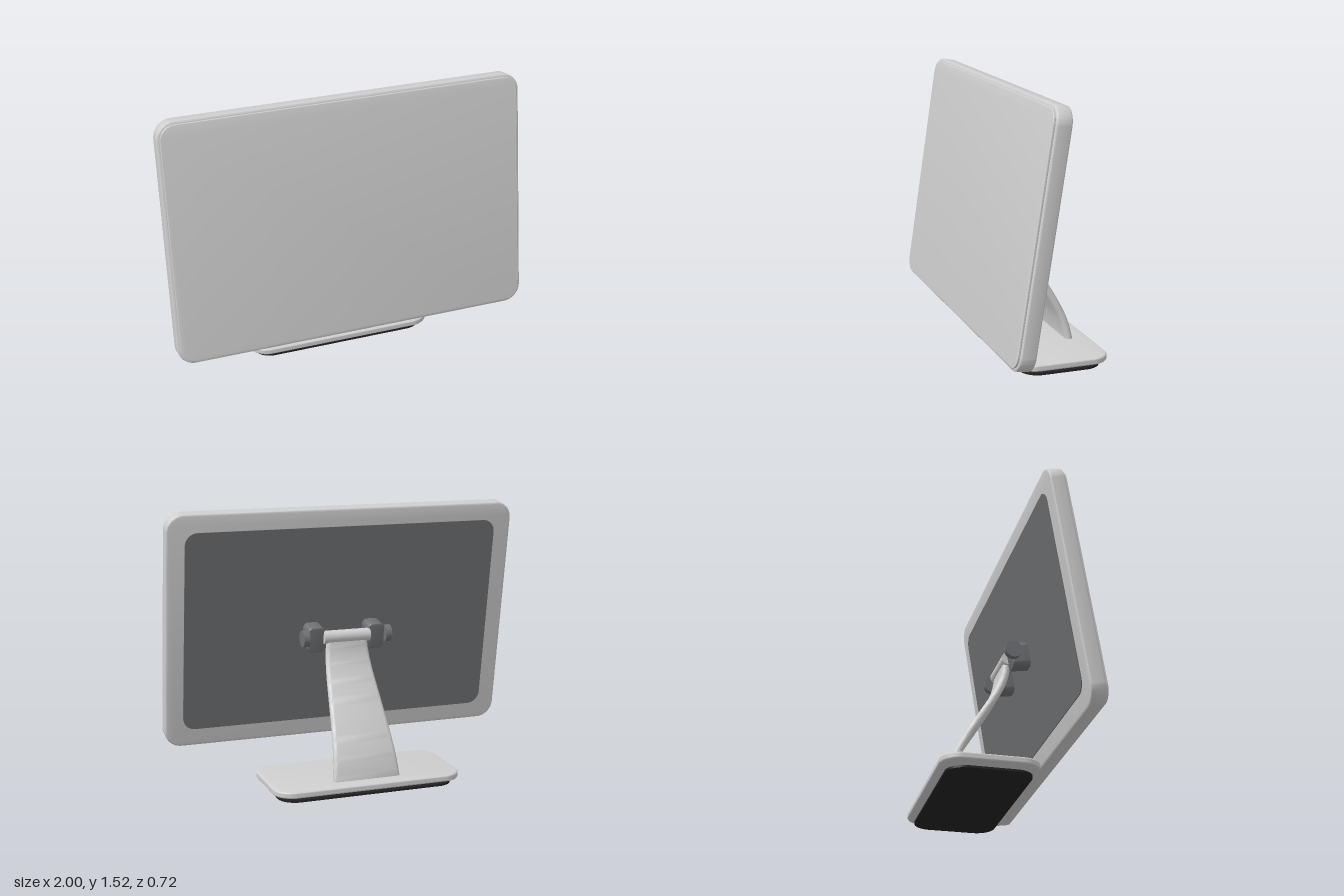
import * as THREE from 'three';
import { toCreasedNormals } from 'three/addons/utils/BufferGeometryUtils.js';

const silver = new THREE.MeshStandardMaterial({ name: 'silver', color: 0xcfcfcf });
const darkGrey = new THREE.MeshStandardMaterial({ name: 'darkGrey', color: 0x6f7174 });
const black = new THREE.MeshStandardMaterial({ name: 'blackRubber', color: 0x222222 });

function part(parent, name, geometry, material, x = 0, y = 0, z = 0) {
  const mesh = new THREE.Mesh(geometry, material);
  mesh.name = name;
  mesh.position.set(x, y, z);
  parent.add(mesh);
  return mesh;
}

// Rounded rectangle plate with softened rims, centred on the origin, thickness along z
function plate(width, height, radius, depth, bevel) {
  const w = width / 2 - bevel, h = height / 2 - bevel, r = radius - bevel;
  const s = new THREE.Shape();
  s.absarc(w - r, h - r, r, 0, Math.PI / 2);
  s.absarc(-w + r, h - r, r, Math.PI / 2, Math.PI);
  s.absarc(-w + r, -h + r, r, Math.PI, Math.PI * 1.5);
  s.absarc(w - r, -h + r, r, Math.PI * 1.5, Math.PI * 2);
  s.closePath();
  const g = new THREE.ExtrudeGeometry(s, {
    depth: depth - 2 * bevel, bevelEnabled: bevel > 0, bevelSize: bevel,
    bevelThickness: bevel, bevelSegments: 3, curveSegments: 10,
  });
  g.translate(0, 0, -depth / 2 + bevel);
  return toCreasedNormals(g, 0.65);
}

// Flat arm with round edges, swept along an S-curve and widening downwards
function armGeometry() {
  const path = new THREE.CatmullRomCurve3([
    [0.028, -0.251], [0.08, -0.246], [0.188, -0.217], [0.328, -0.147],
    [0.485, -0.05], [0.61, 0.024], [0.70, 0.06], [0.79, 0.075],
  ].map(([y, z]) => new THREE.Vector3(0, y, z)));
  const steps = 40, arc = 8, ring = 2 * (arc + 1), t = 0.021;
  const pos = [], index = [];
  for (let i = 0; i <= steps; i++) {
    const p = path.getPoint(i / steps), d = path.getTangent(i / steps);
    const w = 0.2 - 0.105 * p.y;
    for (let k = 0; k < ring; k++) {
      const side = k <= arc ? 1 : -1;
      const a = -Math.PI / 2 + Math.PI * (side > 0 ? k : k - 1) / arc;
      const n = t * Math.sin(a);
      pos.push(side * (w - t) + t * Math.cos(a), p.y + n * d.z, p.z - n * d.y);
      if (i < steps) {
        const a0 = i * ring + k, a1 = i * ring + (k + 1) % ring;
        index.push(a0, a1, a1 + ring, a0, a1 + ring, a0 + ring);
      }
    }
  }
  // end caps
  const last = steps * ring;
  for (let k = 1; k < ring - 1; k++) {
    index.push(0, k + 1, k, last, last + k, last + k + 1);
  }
  const g = new THREE.BufferGeometry();
  g.setAttribute('position', new THREE.Float32BufferAttribute(pos, 3));
  g.setIndex(index);
  return toCreasedNormals(g, 0.7);
}

export function createModel() {
  const model = new THREE.Group();
  model.name = 'monitor';

  // Stand: foot pad, base plate and curved arm
  const pad = part(model, 'footPad', plate(1.0, 0.45, 0.1, 0.012, 0), black, 0, 0.006, -0.1);
  const base = part(model, 'basePlate', plate(1.07, 0.52, 0.11, 0.036, 0.01), silver, 0, 0.051, -0.1);
  pad.rotation.x = base.rotation.x = -Math.PI / 2;
  part(model, 'arm', armGeometry(), silver);

  // Hinge barrel with a knob at each end
  const hinge = new THREE.Group();
  hinge.name = 'hinge';
  hinge.position.set(0, 0.8, 0.075);
  model.add(hinge);
  const barrel = part(hinge, 'barrel', new THREE.CylinderGeometry(0.036, 0.036, 0.27, 32), silver);
  barrel.rotation.z = Math.PI / 2;
  for (const side of [-1, 1]) {
    const knob = part(hinge, 'knob', new THREE.CylinderGeometry(0.047, 0.047, 0.035, 32), darkGrey, side * 0.241);
    knob.rotation.z = Math.PI / 2;
  }

  // Tilted display
  const display = new THREE.Group();
  display.name = 'display';
  display.position.set(0, 0.86, 0.2065);
  display.rotation.x = -0.154;
  model.add(display);
  part(display, 'housing', plate(2.0, 1.329, 0.095, 0.084, 0.01), silver);
  part(display, 'screen', plate(1.97, 1.299, 0.08, 0.012, 0.003), silver, 0, 0, 0.047);
  part(display, 'backPanel', plate(1.8, 1.13, 0.07, 0.008, 0), darkGrey, 0, 0, -0.043);
  for (const side of [-1, 1]) {
    part(display, 'hingeBracket', plate(0.1, 0.146, 0.03, 0.1, 0.006), darkGrey, side * 0.175, -0.052, -0.094);
  }
  return model;
}
